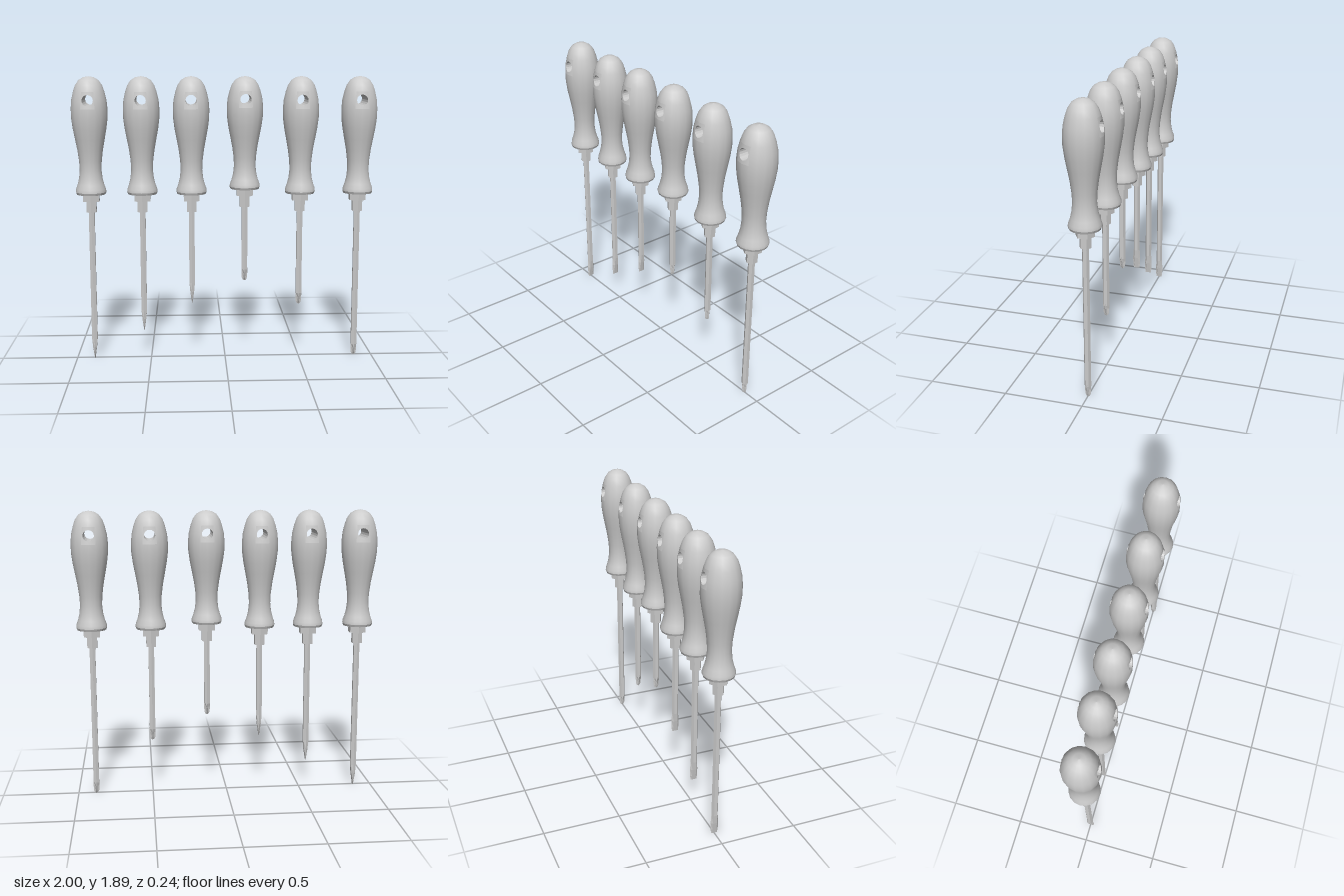
import * as THREE from 'three';

const SIDES = 16;
const STEP = (2 * Math.PI) / SIDES;
const HOLE = { y: 1.735, r: 0.036, half: 0.055 };
const TOP = 1.887, BASE = 1.12;

// Handle profile, bottom to top: [radius, y]
const PROFILE = [
  [0.1, 1.135], [0.098, 1.155], [0.087, 1.185], [0.077, 1.225], [0.071, 1.28], [0.074, 1.34],
  [0.083, 1.41], [0.096, 1.48], [0.109, 1.55], [0.118, 1.62], [0.1185, 1.68], [0.114, 1.735],
  [0.101, 1.79], [0.087, 1.83], [0.065, 1.862], [0.036, 1.88], [0, TOP],
];
const FIRST_ROW = PROFILE.findIndex((p) => p[1] === 1.68);

const smooth = new THREE.MeshStandardMaterial({ color: 0xcccccc });
const flat = new THREE.MeshStandardMaterial({ color: 0xcccccc, flatShading: true });

function add(parent, name, geometry, material, y = 0) {
  const mesh = new THREE.Mesh(geometry, material);
  mesh.name = name;
  mesh.position.y = y;
  parent.add(mesh);
  return mesh;
}

function radiusAt(y) {
  const i = PROFILE.findIndex((p) => p[1] >= y - 1e-6);
  const [r0, y0] = PROFILE[i - 1], [r1, y1] = PROFILE[i];
  return r0 + ((r1 - r0) * (y - y0)) / (y1 - y0);
}

function fromTriangles(points) {
  const g = new THREE.BufferGeometry().setFromPoints(points);
  g.computeVertexNormals();
  return g;
}

// Turned body with a window left open front and back for the hanging hole
function handleBody() {
  const g = new THREE.LatheGeometry(PROFILE.map(([r, y]) => new THREE.Vector2(r, y)), SIDES);
  const rows = PROFILE.length - 1;
  const open = [0, SIDES / 2 - 1, SIDES / 2, SIDES - 1];
  const kept = [];
  for (let i = 0; i < SIDES; i++) {
    for (let j = 0; j < rows; j++) {
      if (open.includes(i) && (j === FIRST_ROW || j === FIRST_ROW + 1)) continue;
      for (let k = 0; k < 6; k++) kept.push(g.index.getX((i * rows + j) * 6 + k));
    }
  }
  g.setIndex(kept);
  return g;
}

// Fills the window with a ring around the hole, plus the front half of the hole wall
function holeParts() {
  const surface = (x, y) => new THREE.Vector3(x, y, radiusAt(y) - Math.abs(x) * Math.tan(STEP / 2));
  const outer = [], inner = [], middle = [];
  for (let k = 0; k <= 16; k++) {
    const a = (k * Math.PI) / 8, c = Math.cos(a), s = Math.sin(a);
    const m = Math.max(Math.abs(c), Math.abs(s));
    const y = HOLE.y + (s / m) * HOLE.half;
    outer.push(surface((c / m) * radiusAt(y) * Math.sin(STEP), y));
    inner.push(surface(c * HOLE.r, HOLE.y + s * HOLE.r));
    middle.push(new THREE.Vector3(c * HOLE.r, HOLE.y + s * HOLE.r, 0));
  }
  const strip = (a, b) => {
    const t = [];
    for (let k = 0; k < 16; k++) t.push(a[k], a[k + 1], b[k], a[k + 1], b[k + 1], b[k]);
    return fromTriangles(t);
  };
  const ring = strip(outer, inner);
  const p = ring.attributes.position, n = ring.attributes.normal, v = new THREE.Vector3();
  for (let i = 0; i < p.count; i++) {
    const r = radiusAt(p.getY(i));
    v.set(p.getX(i) / r, 0.16, p.getZ(i) / r).normalize();
    n.setXYZ(i, v.x, v.y, v.z);
  }
  return { ring, wall: strip(inner, middle) };
}

// Skin over equal-sized cross-sections listed from the tip upwards
function loft(sections) {
  const t = [], n = sections[0].length;
  for (let j = 0; j < sections.length - 1; j++) {
    for (let i = 0; i < n; i++) {
      const a = sections[j][i], b = sections[j][(i + 1) % n];
      const c = sections[j + 1][i], d = sections[j + 1][(i + 1) % n];
      t.push(a, b, c, b, d, c);
    }
  }
  const centre = new THREE.Vector3(0, sections[0][0].y, 0);
  for (let i = 0; i < n; i++) t.push(centre, sections[0][(i + 1) % n], sections[0][i]);
  return fromTriangles(t);
}

// Cross-section with n corners, the first on +z
function section(y, n, radius, sx = 1, sz = 1) {
  return Array.from({ length: n }, (_, i) => {
    const a = (i * 2 * Math.PI) / n, r = radius(i);
    return new THREE.Vector3(Math.sin(a) * r * sx, y, Math.cos(a) * r * sz);
  });
}

const SHAFT = 0.0215;

function flatTip() {
  return loft([[0, 0.06, 0.95], [0.03, 0.3, 1.15], [0.08, 0.7, 1.2], [0.14, 1, 1]]
    .map(([y, sx, sz]) => section(y, 6, () => SHAFT, sx, sz)));
}

function crossTip() {
  return loft([[0, 0.01, 0.004], [0.015, 0.017, 0.007], [0.05, 0.02, 0.011], [0.085, 0.0205, 0.019]]
    .map(([y, out, inn]) => section(y, 8, (i) => (i % 2 ? inn : out))));
}

function createScrewdriver(tipY, lift, cross, parts) {
  const tool = new THREE.Group();
  tool.name = cross ? 'crossScrewdriver' : 'flatScrewdriver';

  // Handle, shortened from below when lifted
  const handle = new THREE.Group();
  handle.name = 'handle';
  handle.scale.y = (TOP - BASE - lift) / (TOP - BASE);
  handle.position.y = TOP * (1 - handle.scale.y);
  add(handle, 'handleBody', parts.body, smooth);
  add(handle, 'handleBase', new THREE.CylinderGeometry(0.1, 0.094, 0.015, SIDES), flat, 1.1275);
  for (const turn of [0, Math.PI]) {
    add(handle, 'holeRing', parts.ring, smooth).rotation.y = turn;
    add(handle, 'holeWall', parts.wall, flat).rotation.y = turn;
  }
  tool.add(handle);

  // Hexagonal collars, shaft and tip
  const hex = (name, r, y0, y1) =>
    add(tool, name, new THREE.CylinderGeometry(r, r, y1 - y0, 6), flat, (y0 + y1) / 2);
  hex('upperCollar', 0.06, 1.073 + lift, 1.122 + lift);
  hex('lowerCollar', 0.037, 1 + lift, 1.075 + lift);
  hex('shaft', SHAFT, tipY + (cross ? 0.075 : 0.14), 1.01 + lift);
  add(tool, 'tip', cross ? parts.cross : parts.flat, flat, tipY);
  return tool;
}

export function createModel() {
  const model = new THREE.Group();
  model.name = 'screwdriverSet';
  const parts = { body: handleBody(), ...holeParts(), flat: flatTip(), cross: crossTip() };
  // x, tip height, handle lift, cross tip
  const tools = [
    [-0.881, 0, 0, false], [-0.545, 0.19, 0, false], [-0.221, 0.375, 0, false],
    [0.13, 0.53, 0.032, true], [0.497, 0.363, 0, true], [0.881, 0, 0, true],
  ];
  for (const [x, tipY, lift, cross] of tools) {
    const tool = createScrewdriver(tipY, lift, cross, parts);
    tool.position.x = x;
    model.add(tool);
  }
  return model;
}
